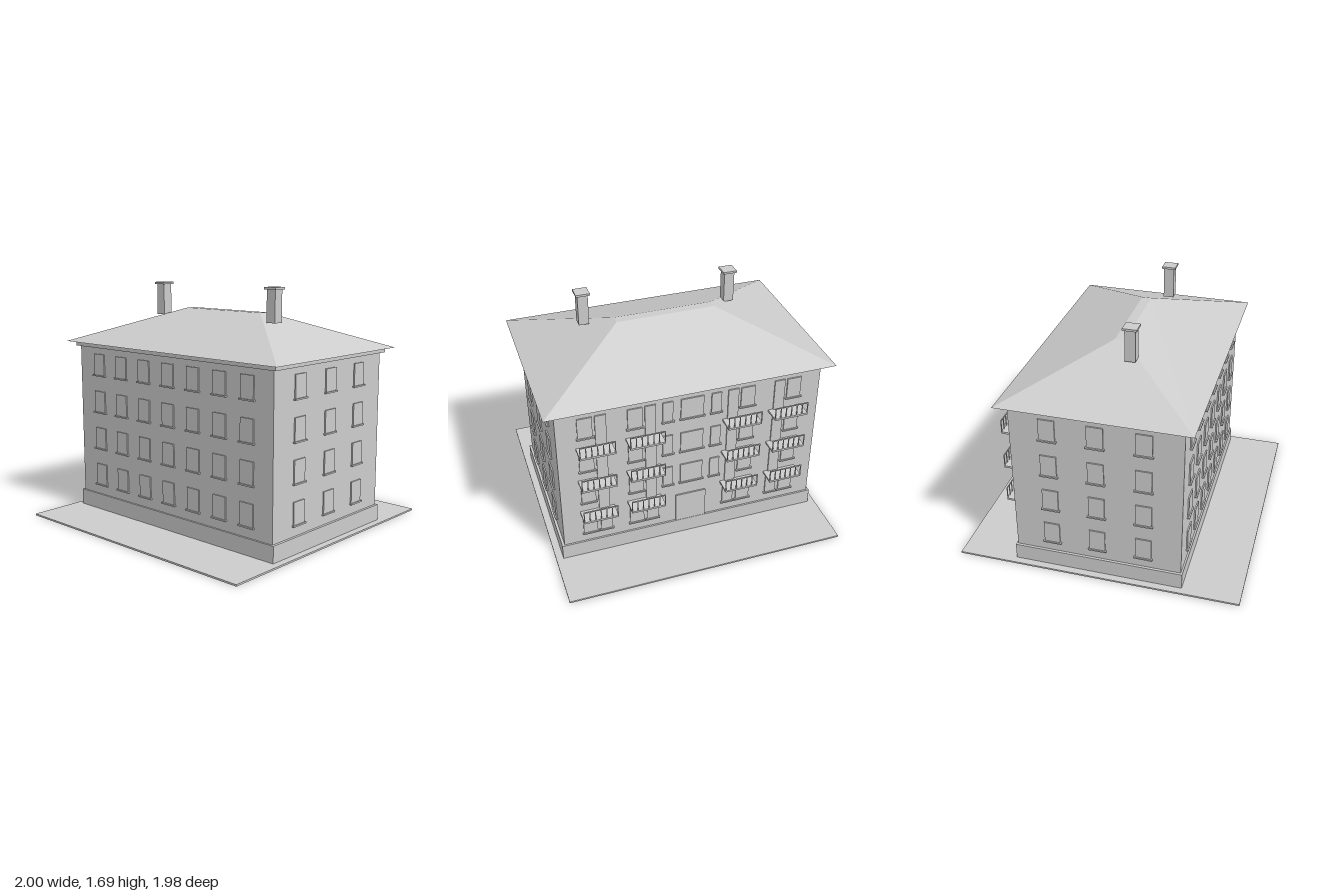
import * as THREE from 'three';

const plaster = new THREE.MeshStandardMaterial({ color: 0xcccccc });
plaster.name = 'lightGrey';

export function createModel() {
  const model = new THREE.Group();
  model.name = 'apartmentBlock';

  // Box given by its centre in x and z and its bottom height
  function box(name, w, h, d, x, y, z, parent = model) {
    const mesh = new THREE.Mesh(new THREE.BoxGeometry(w, h, d), plaster);
    mesh.name = name;
    mesh.position.set(x, y + h / 2, z);
    parent.add(mesh);
    return mesh;
  }

  const halfX = 0.922, halfZ = 0.578;
  const sills = [0.195, 0.47, 0.743, 1.017];

  // Main volumes
  box('groundSlab', 1.98, 0.012, 1.98, 0, 0, 0);
  box('plinth', 1.88, 0.115, 1.18, 0, 0.012, 0);
  box('walls', halfX * 2, 1.1, halfZ * 2, 0, 0.127, 0);
  box('cornice', 1.9, 0.033, 1.2, 0, 1.227, 0);

  // Hipped roof: a box whose top is drawn in to a narrow ridge
  let roofShape = new THREE.BoxGeometry(2, 0.245, 1.296);
  const p = roofShape.attributes.position;
  for (let i = 0; i < p.count; i++) {
    if (p.getY(i) > 0) {
      p.setX(i, Math.sign(p.getX(i)) * 0.35);
      p.setZ(i, Math.sign(p.getZ(i)) * 0.033);
    }
  }
  roofShape = roofShape.toNonIndexed();
  roofShape.computeVertexNormals();
  const roof = new THREE.Mesh(roofShape, plaster);
  roof.name = 'roof';
  roof.position.y = 1.26 + 0.1225;
  model.add(roof);

  // Chimneys with caps
  for (const x of [-0.503, 0.546]) {
    box('chimney', 0.072, 0.22, 0.072, x, 1.456, 0.122);
    box('chimneyCap', 0.097, 0.015, 0.097, x, 1.676, 0.122);
  }

  // Each facade is a group whose local z = 0 lies on the wall
  function facade(name, x, z, angle) {
    const group = new THREE.Group();
    group.name = name;
    group.position.set(x, 0, z);
    group.rotation.y = angle;
    model.add(group);
    return group;
  }
  function pane(parent, x, y, w = 0.11) {
    box('window', w, 0.155, 0.018, x, y + 0.008, 0, parent);
    box('windowSill', w + 0.018, 0.01, 0.036, x, y, 0, parent);
  }

  const front = facade('frontFacade', 0, halfZ, 0);
  const right = facade('rightFacade', -halfX, 0, -Math.PI / 2);
  const left = facade('leftFacade', halfX, 0, Math.PI / 2);
  const back = facade('backFacade', 0, -halfZ, Math.PI);
  for (const y of sills) {
    for (let i = -3; i <= 3; i++) pane(front, i * 0.237, y);
    for (let i = -1; i <= 1; i++) {
      pane(left, i * 0.32, y);
      pane(right, i * 0.32, y);
    }
  }

  // Balcony: slab, top rail and balusters along the outer edge
  function balcony(x, y) {
    const group = new THREE.Group();
    group.name = 'balcony';
    group.position.set(x, y, 0);
    back.add(group);
    box('balconySlab', 0.24, 0.014, 0.115, 0, 0, 0.0575, group);
    box('railing', 0.24, 0.008, 0.006, 0, 0.093, 0.111, group);
    for (let i = 0; i < 7; i++) {
      box('baluster', 0.006, 0.085, 0.006, -0.117 + i * 0.039, 0.01, 0.111, group);
    }
  }

  // Back facade: balcony bays with a door beside each window
  sills.forEach((y, floor) => {
    for (const side of [-1, 1]) {
      for (const x of [0.34, 0.675]) {
        pane(back, side * (x + 0.055), y, 0.1);
        if (floor > 0) {
          box('balconyDoor', 0.075, 0.235, 0.018, side * (x - 0.05), y - 0.07, 0, back);
          balcony(side * x, y - 0.083);
        } else {
          pane(back, side * (x - 0.06), y, 0.08);
        }
      }
      if (floor > 0) pane(back, side * 0.17, y, 0.07);
    }
    if (floor > 0) pane(back, 0, y, 0.16);
  });
  box('entranceDoor', 0.22, 0.235, 0.02, 0, 0.127, 0, back);

  return model;
}
